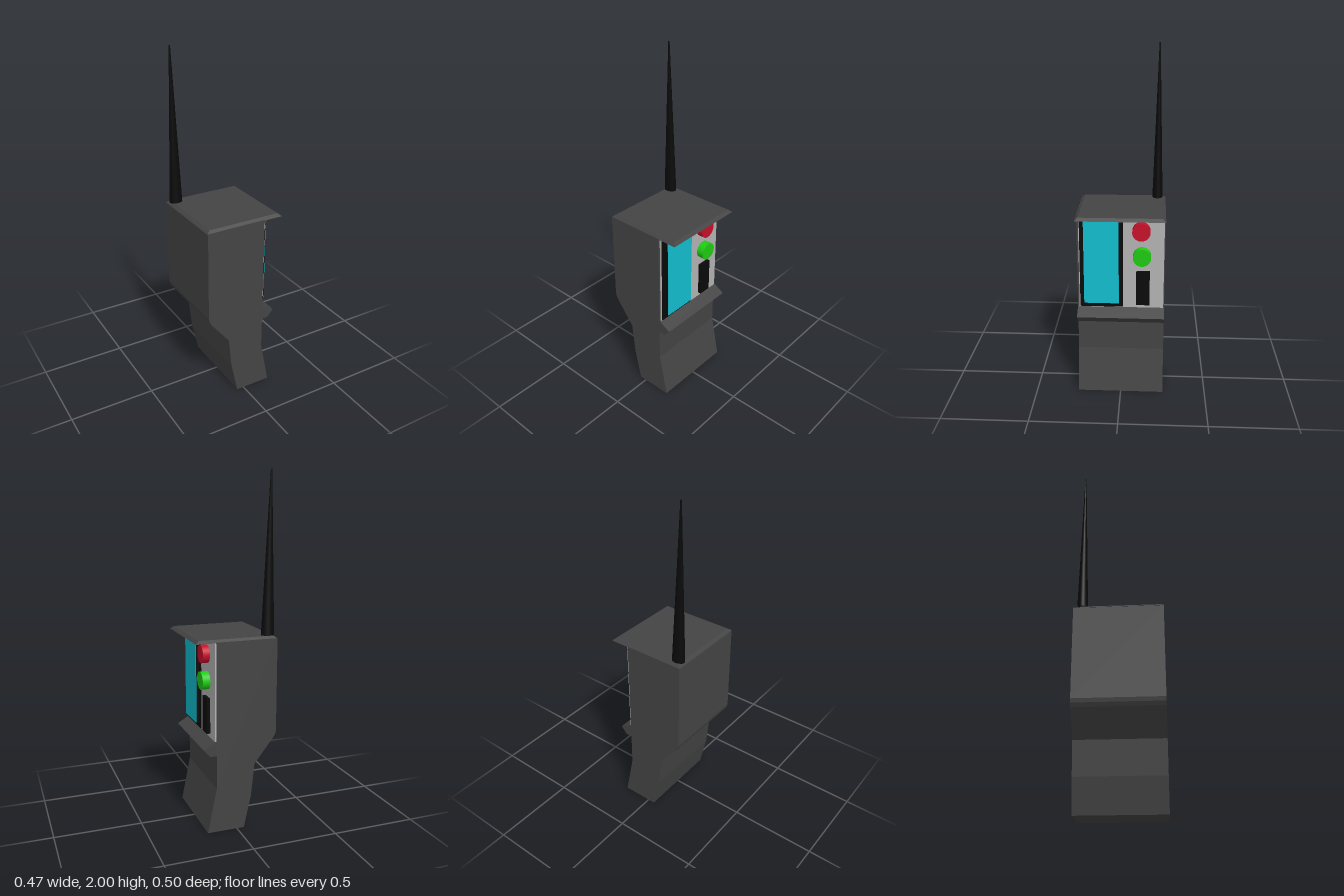
import * as THREE from 'three';

const mat = (color) => new THREE.MeshStandardMaterial({ color });
const dark = mat(0x444444), black = mat(0x0a0a0a), grey = mat(0xb4b4b4);
const cyan = mat(0x12bfcf), red = mat(0xc8102a), green = mat(0x1fcc12);

export function createModel() {
  const model = new THREE.Group();

  const add = (name, geometry, material) => {
    const mesh = new THREE.Mesh(geometry, material);
    mesh.name = name;
    model.add(mesh);
    return mesh;
  };

  // Side profile swept across the full width
  const sweep = (name, points) => {
    const shape = new THREE.Shape(points.map(([x, y]) => new THREE.Vector2(x, y)));
    const geometry = new THREE.ExtrudeGeometry(shape, { depth: 0.5, bevelEnabled: false });
    add(name, geometry.translate(0, 0, -0.25), dark);
  };

  // Box given by its limits on each axis
  const block = (name, [x0, x1], [y0, y1], [z0, z1], material) => {
    const geometry = new THREE.BoxGeometry(x1 - x0, y1 - y0, z1 - z0);
    return add(name, geometry.translate((x0 + x1) / 2, (y0 + y1) / 2, (z0 + z1) / 2), material);
  };

  // Casing with angled grip, and the ledge under the panel
  sweep('body', [
    [-0.043, 0], [0.175, 0], [0.122, 0.262], [0.122, 1.097], [-0.235, 1.097],
    [-0.235, 0.565], [-0.23, 0.543], [-0.217, 0.522], [-0.105, 0.38], [-0.085, 0.19],
  ]);
  sweep('ledge', [[0.115, 0.455], [0.16, 0.455], [0.197, 0.497], [0.127, 0.538], [0.115, 0.538]]);

  // Overhanging lid with chamfered upper edges
  const lid = new THREE.BoxGeometry(0.474, 0.016, 0.5);
  const p = lid.attributes.position;
  for (let i = 0; i < p.count; i++) {
    if (p.getY(i) > 0) {
      p.setX(i, Math.sign(p.getX(i)) * 0.218);
      p.setZ(i, Math.sign(p.getZ(i)) * 0.232);
    }
  }
  lid.computeVertexNormals();
  add('lid', lid.translate(0, 1.102, 0), dark);

  // Control panel and screen
  block('panel', [0.12, 0.13], [0.535, 1.09], [-0.245, 0.24], grey);
  block('screenFrame', [0.12, 0.134], [0.54, 1.085], [-0.012, 0.235], black);
  block('screenHousing', [0.13, 0.154], [0.571, 1.078], [0.011, 0.21], black);
  block('screen', [0.153, 0.156], [0.571, 1.078], [0.011, 0.21], cyan);
  block('slider', [0.125, 0.15], [0.56, 0.765], [-0.165, -0.088], black);

  // Round push buttons
  for (const [name, y, z, end, material] of [
    ['redButton', 1.01, -0.115, 0.17, red],
    ['greenButton', 0.86, -0.12, 0.174, green],
  ]) {
    const depth = end - 0.125;
    const button = add(name, new THREE.CylinderGeometry(0.051, 0.051, depth, 32), material);
    button.rotation.z = -Math.PI / 2;
    button.position.set(0.125 + depth / 2, y, z);
  }

  // Tapering oval antenna, leaning slightly
  const antenna = new THREE.CylinderGeometry(0.004, 0.038, 0.892, 24);
  antenna.scale(1, 1, 0.8).translate(0, 0.446, 0);
  const a = antenna.attributes.position;
  for (let i = 0; i < a.count; i++) a.setX(i, a.getX(i) - 0.0095 * a.getY(i) / 0.892);
  add('antenna', antenna, black).position.set(-0.195, 1.108, -0.202);

  return model;
}
